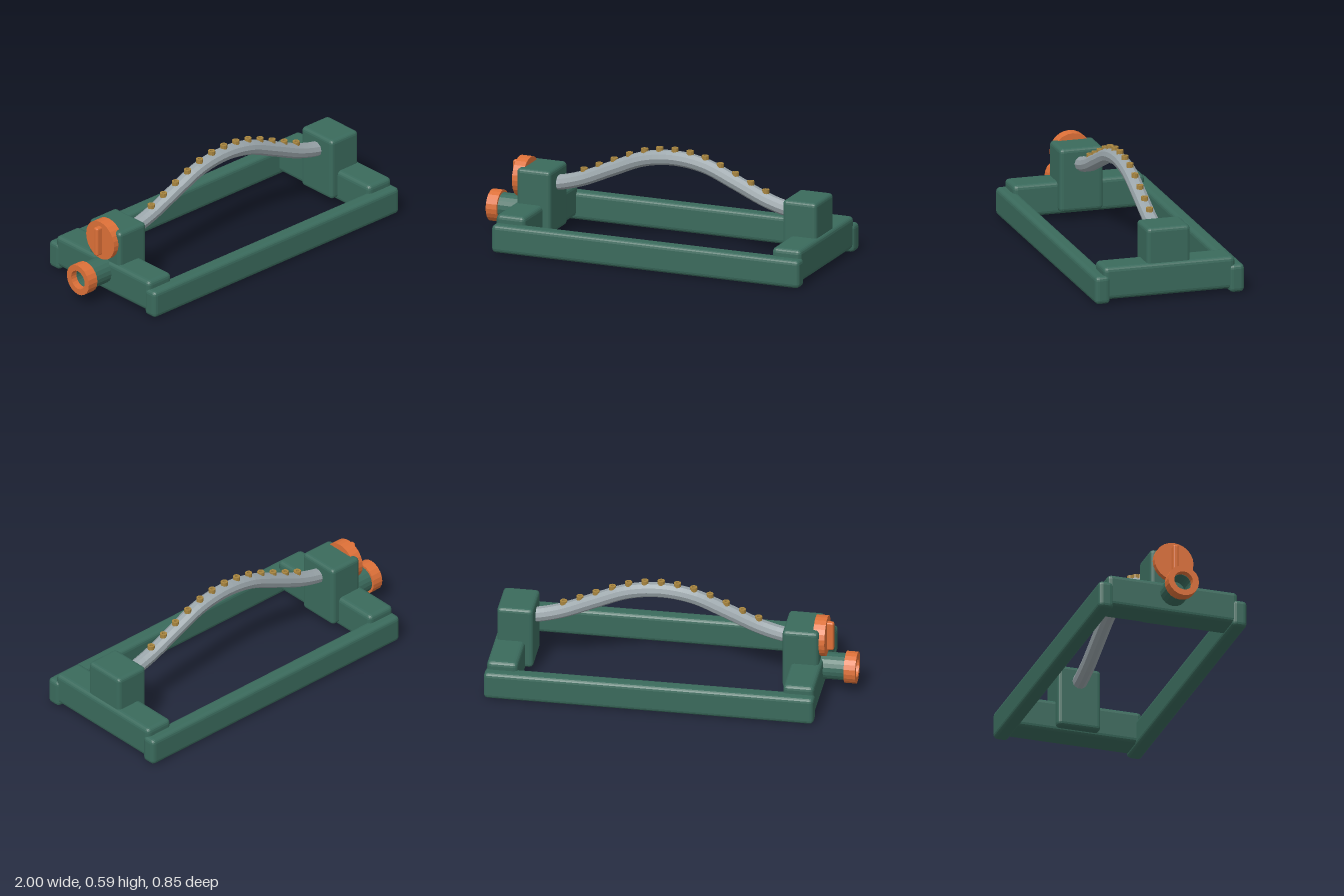
import * as THREE from 'three';
import { RoundedBoxGeometry } from 'three/addons/geometries/RoundedBoxGeometry.js';

const material = (color) => new THREE.MeshStandardMaterial({ color });

export function createModel() {
  const model = new THREE.Group();
  model.name = 'oscillatingSprinkler';
  const green = material(0x3a6a5c);
  const orange = material(0xdd7038);
  const grey = material(0x9aa5aa);
  const brass = material(0xa8853f);
  for (const m of [green, orange, grey, brass]) m.flatShading = true;

  const add = (name, geometry, mat, x, y, z, parent = model) => {
    const mesh = new THREE.Mesh(geometry, mat);
    mesh.name = name;
    mesh.position.set(x, y, z);
    parent.add(mesh);
    return mesh;
  };

  // Rounded block given by its x, y and z limits
  const block = (name, [x0, x1], [y0, y1], [z0, z1], radius, mat = green) =>
    add(name, new RoundedBoxGeometry(x1 - x0, y1 - y0, z1 - z0, 2, radius), mat,
      (x0 + x1) / 2, (y0 + y1) / 2, (z0 + z1) / 2);

  // Hollow ring along y, centred on its own middle, with an optional floor
  const ring = (inner, outer, height, sides, floor = null) => {
    const h = height / 2;
    const p = [[outer, -h], [outer, h], [inner, h], [inner, floor ?? -h]];
    p.push(floor === null ? [outer, -h] : [0, floor]);
    return new THREE.LatheGeometry(p.map(([r, y]) => new THREE.Vector2(r, y)), sides);
  };

  // Base frame: two long rails and two cross members
  block('frontRail', [-0.825, 0.995], [0, 0.158], [0.34, 0.426], 0.024);
  block('backRail', [-0.825, 0.995], [0, 0.158], [-0.426, -0.34], 0.024);
  block('rightCrossMember', [-0.82, -0.648], [0.02, 0.204], [-0.375, 0.375], 0.025);
  block('leftCrossMember', [0.814, 0.985], [0.02, 0.204], [-0.375, 0.375], 0.025);

  // Housings holding the ends of the spray tube
  block('motorHousing', [-0.804, -0.604], [0.04, 0.4], [-0.124, 0.124], 0.022);
  block('endHousing', [0.77, 0.97], [0.04, 0.4], [-0.124, 0.124], 0.022);

  // Arched spray tube, symmetric about its middle
  const mid = 0.083;
  const half = [[0.75, 0.305], [0.67, 0.315], [0.54, 0.352], [0.36, 0.43], [0.18, 0.503]];
  const points = [
    ...half.map(([d, y]) => new THREE.Vector3(mid - d, y, 0)),
    new THREE.Vector3(mid, 0.527, 0),
    ...half.slice().reverse().map(([d, y]) => new THREE.Vector3(mid + d, y, 0)),
  ];
  const curve = new THREE.CatmullRomCurve3(points);
  add('sprayTube', new THREE.TubeGeometry(curve, 40, 0.042, 10), grey, 0, 0, 0);

  // Row of brass nozzles standing on the tube
  const heightAt = (x) => {
    let lo = 0, hi = 1;
    for (let i = 0; i < 30; i++) {
      const t = (lo + hi) / 2;
      if (curve.getPoint(t).x < x) lo = t; else hi = t;
    }
    return curve.getPoint(lo).y;
  };
  const nozzles = new THREE.Group();
  nozzles.name = 'nozzles';
  model.add(nozzles);
  const nozzleGeometry = ring(0.009, 0.02, 0.04, 10, 0.008);
  for (let i = -6; i <= 6; i++) {
    const x = mid + i * 0.0896;
    add('nozzle', nozzleGeometry, brass, x, heightAt(x) + 0.039, 0, nozzles);
  }

  // Hose inlet: hollow pipe with a collar, opening toward -x
  add('inletPipe', ring(0.052, 0.075, 0.24, 20, 0.02), green, -0.84, 0.14, 0)
    .rotation.z = Math.PI / 2;
  add('inletCollar', ring(0.054, 0.088, 0.064, 20), orange, -0.968, 0.14, 0)
    .rotation.z = Math.PI / 2;

  // Control dial with its grip bar
  add('dial', new THREE.CylinderGeometry(0.112, 0.112, 0.065, 24), orange, -0.802, 0.325, 0)
    .rotation.z = Math.PI / 2;
  block('dialGrip', [-0.871, -0.82], [0.242, 0.412], [-0.016, 0.016], 0.01, orange);

  return model;
}
